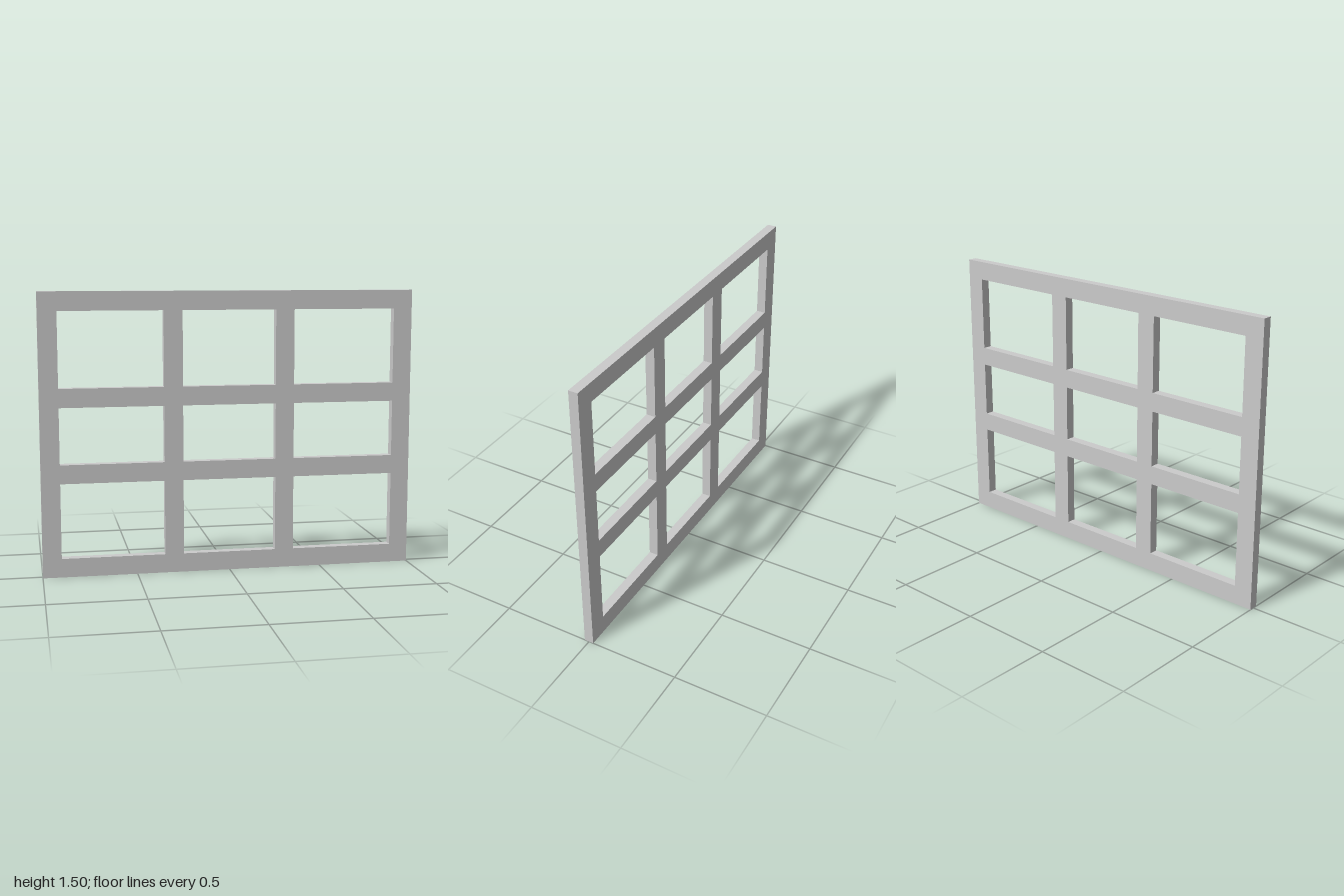
import * as THREE from 'three';

const DEPTH = 0.05;
const COLUMNS = [[-0.9, -0.35], [-0.25, 0.25], [0.35, 0.9]];
const ROWS = [[0.1, 0.5], [0.6, 0.9], [1.0, 1.4]];

// Rectangular outline, used for the frame and for each opening
function rectangle(PathType, x0, y0, x1, y1) {
  const path = new PathType();
  path.moveTo(x0, y0).lineTo(x1, y0).lineTo(x1, y1).lineTo(x0, y1).closePath();
  return path;
}

export function createModel() {
  const group = new THREE.Group();
  group.name = 'windowLattice';

  // Flat frame with a three by three grid of openings
  const outline = rectangle(THREE.Shape, -1, 0, 1, 1.5);
  for (const [x0, x1] of COLUMNS) {
    for (const [y0, y1] of ROWS) {
      outline.holes.push(rectangle(THREE.Path, x0, y0, x1, y1));
    }
  }
  const geometry = new THREE.ExtrudeGeometry(outline, { depth: DEPTH, bevelEnabled: false });
  geometry.translate(0, 0, -DEPTH / 2);

  const frame = new THREE.Mesh(geometry, new THREE.MeshStandardMaterial({ color: 0xcccccc }));
  frame.name = 'frameWithBars';
  group.add(frame);
  return group;
}
